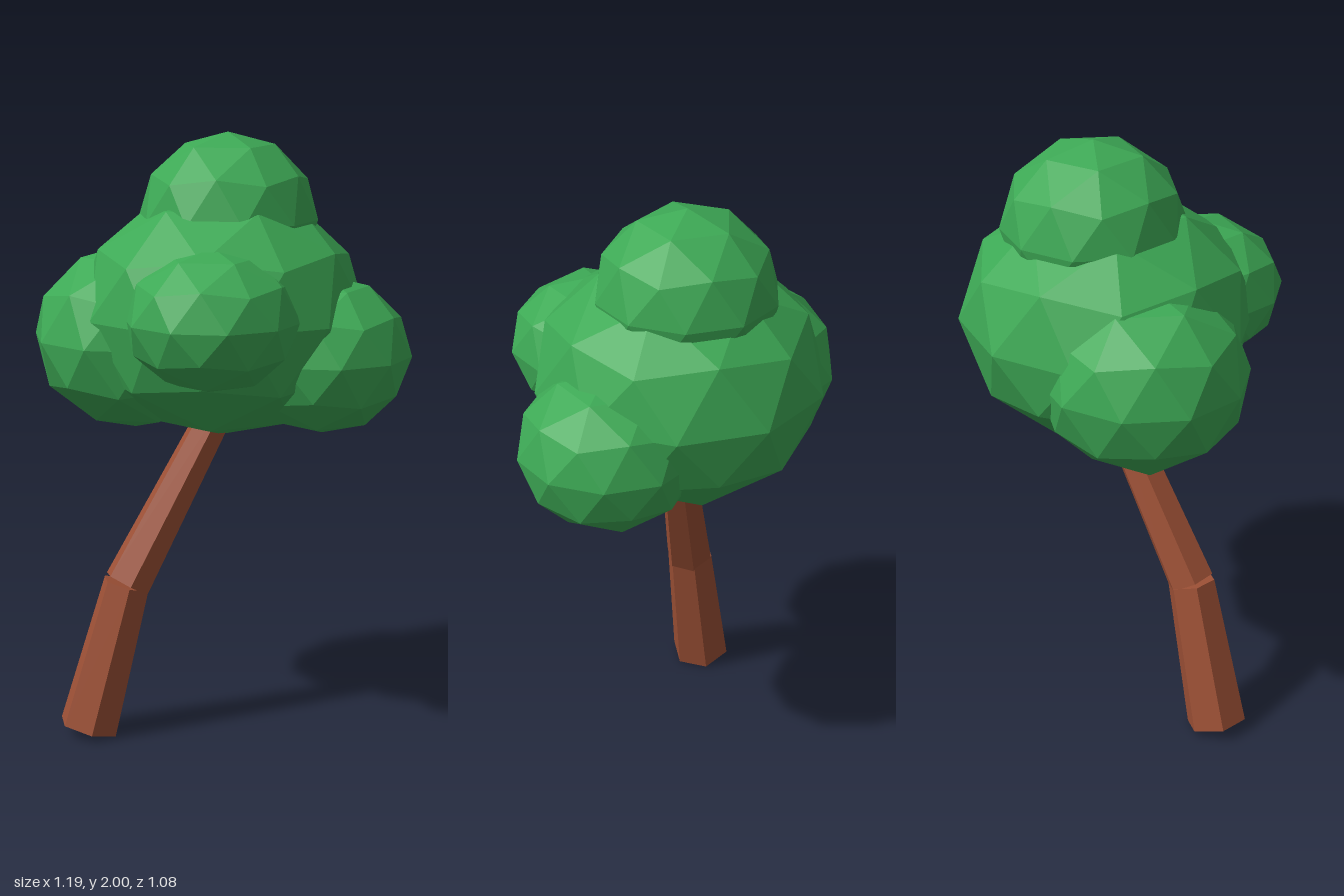
import * as THREE from 'three';

const POLE = Math.atan((1 + Math.sqrt(5)) / 2);

// Faceted ball with a corner at the top and bottom, squashed to an ellipsoid
function leafBall(name, material, centre, radius, height, turn) {
  const geo = new THREE.IcosahedronGeometry(1, 1);
  geo.rotateX(-POLE).rotateY(turn).scale(radius, height, radius);
  geo.computeVertexNormals();
  const mesh = new THREE.Mesh(geo, material);
  mesh.name = name;
  mesh.position.set(...centre);
  return mesh;
}

// Six-sided tapered log between two points
function log(name, material, from, to, r0, r1) {
  const a = new THREE.Vector3(...from);
  const b = new THREE.Vector3(...to);
  const dir = b.clone().sub(a);
  const geo = new THREE.CylinderGeometry(r1, r0, dir.length(), 6).toNonIndexed();
  geo.computeVertexNormals();
  const mesh = new THREE.Mesh(geo, material);
  mesh.name = name;
  mesh.position.copy(a).add(b).multiplyScalar(0.5);
  mesh.quaternion.setFromUnitVectors(new THREE.Vector3(0, 1, 0), dir.normalize());
  return mesh;
}

export function createModel() {
  const leaf = new THREE.MeshStandardMaterial({ color: 0x3da955, flatShading: true });
  leaf.name = 'leafGreen';
  const bark = new THREE.MeshStandardMaterial({ color: 0x9e5136, flatShading: true });
  bark.name = 'barkBrown';

  const tree = new THREE.Group();
  tree.name = 'tree';

  // Bent trunk in two sections
  tree.add(
    log('lowerTrunk', bark, [-0.465, 0.024, 0.01], [-0.332, 0.518, 0.01], 0.102, 0.081),
    log('upperTrunk', bark, [-0.33, 0.518, 0.011], [0.02, 1.15, -0.058], 0.081, 0.058),
  );

  // Crown: one large ball with four smaller ones around it
  const q = Math.PI / 2;
  const crown = new THREE.Group();
  crown.name = 'crown';
  crown.add(
    leafBall('mainFoliage', leaf, [0, 1.412, -0.062], 0.478, 0.412, q),
    leafBall('topFoliage', leaf, [0.027, 1.717, -0.095], 0.298, 0.283, q),
    leafBall('frontFoliage', leaf, [-0.08, 1.436, 0.254], 0.283, 0.232, q),
    leafBall('leftFoliage', leaf, [0.314, 1.284, 0.066], 0.294, 0.262, q),
    leafBall('rightFoliage', leaf, [-0.276, 1.326, -0.158], 0.338, 0.31, -q),
  );
  tree.add(crown);
  return tree;
}
